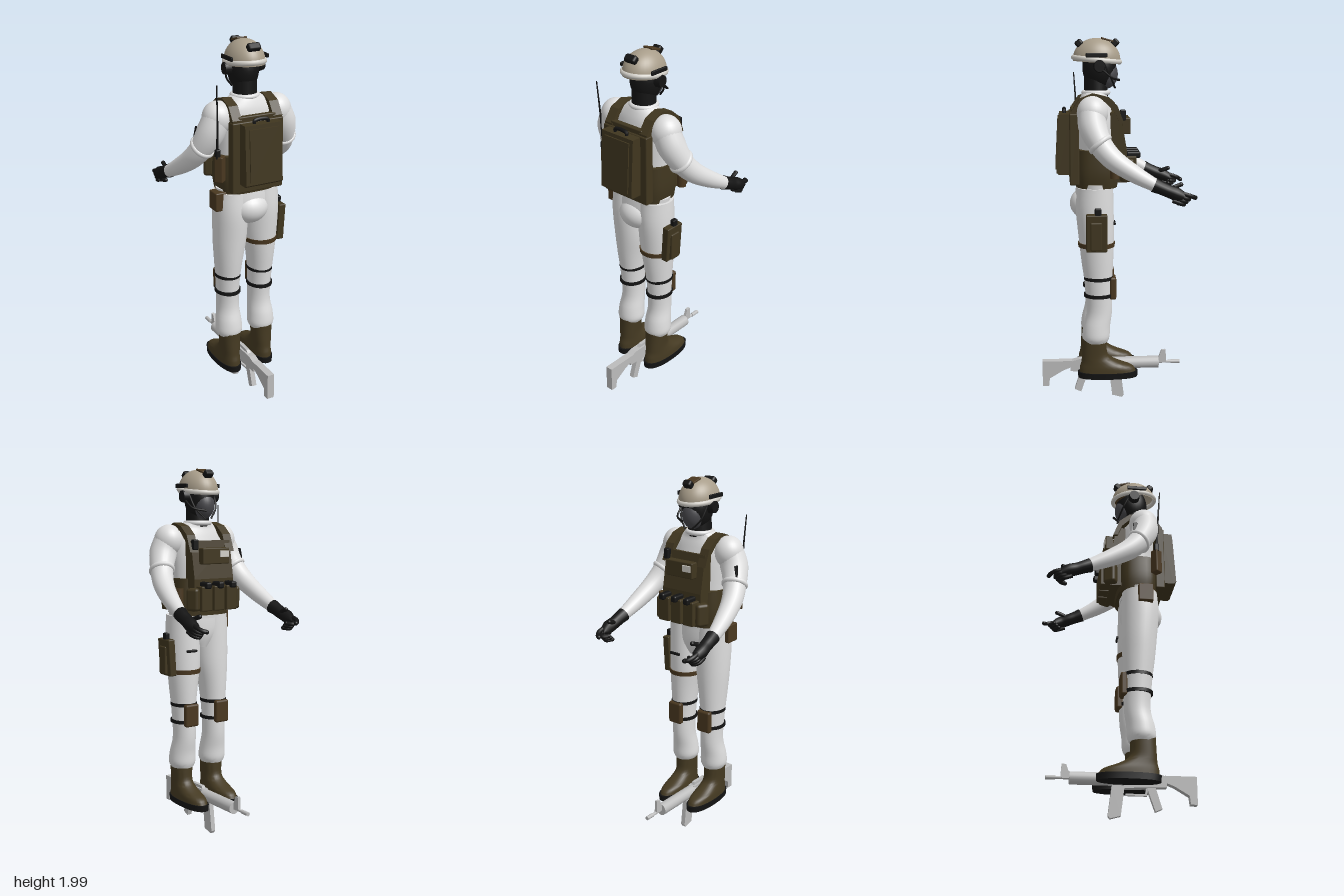
import * as THREE from 'three';
import { toCreasedNormals } from 'three/addons/utils/BufferGeometryUtils.js';
import { RoundedBoxGeometry } from 'three/addons/geometries/RoundedBoxGeometry.js';

const mat = (name, color) => {
  const m = new THREE.MeshStandardMaterial({ color, side: THREE.DoubleSide });
  m.name = name;
  return m;
};
const cloth = mat('white cloth', 0xdedede), olive = mat('olive gear', 0x40361f), dark = mat('black gear', 0x141414);
const tan = mat('tan helmet', 0xa89d8a), rim = mat('pale trim', 0xd2cfc8), steel = mat('grey metal', 0xbcbcbc);
const skin = mat('grey face', 0x48484c), boot = mat('boot leather', 0x453a22), brown = mat('brown pouch', 0x4a3820);

export function createModel() {
  const root = new THREE.Group();
  const add = (name, geo, m, x = 0, y = 0, z = 0, parent = root) => {
    const mesh = new THREE.Mesh(geo, m);
    mesh.name = name;
    mesh.position.set(x, y, z);
    parent.add(mesh);
    return mesh;
  };
  const group = (name) => {
    const g = new THREE.Group();
    g.name = name;
    root.add(g);
    return g;
  };
  const box = (name, m, w, h, d, x, y, z, parent, r = 0.006) =>
    add(name, new RoundedBoxGeometry(w, h, d, 2, Math.min(r, w / 3, h / 3, d / 3)), m, x, y, z, parent);
  const ball = (name, m, rx, ry, rz, x, y, z, parent) =>
    add(name, new THREE.SphereGeometry(1, 28, 18).scale(rx, ry, rz), m, x, y, z, parent);

  // Capped skin over horizontal rings [y, cx, cz, rx, rz], bottom to top; n squares the corners
  const loft = (rings, n = 2, steps = 4, seg = 32) => {
    const pos = [], idx = [], rows = [];
    const at = (k, t) => {
      const p = [-1, 0, 1, 2].map(o => rings[Math.min(rings.length - 1, Math.max(0, Math.floor(t) + o))][k]), f = t % 1;
      return p[1] + 0.5 * f * (p[2] - p[0] + f * (2 * p[0] - 5 * p[1] + 4 * p[2] - p[3] + f * (3 * (p[1] - p[2]) + p[3] - p[0])));
    };
    const total = (rings.length - 1) * steps;
    for (let i = 0; i <= total; i++) rows.push([0, 1, 2, 3, 4].map(k => at(k, i / steps)));
    const cap = r => [r[0], r[1], r[2], 0.0001, 0.0001];
    rows.unshift(cap(rows[0]));
    rows.push(cap(rows[rows.length - 1]));
    const pw = v => Math.sign(v) * Math.abs(v) ** (2 / n);
    rows.forEach(([y, cx, cz, rx, rz], j) => {
      for (let i = 0; i < seg; i++) {
        const a = i / seg * Math.PI * 2;
        pos.push(cx + rx * pw(Math.cos(a)), y, cz + rz * pw(Math.sin(a)));
        if (j === rows.length - 1) continue;
        const A = j * seg + i, B = j * seg + (i + 1) % seg;
        idx.push(A, A + seg, B, B, A + seg, B + seg);
      }
    });
    const g = new THREE.BufferGeometry();
    g.setAttribute('position', new THREE.Float32BufferAttribute(pos, 3));
    g.setIndex(idx);
    return toCreasedNormals(g, 0.9);
  };

  // Tube through points [x, y, z, radius]
  const limb = (pts, seg = 14) => {
    const curve = new THREE.CatmullRomCurve3(pts.map(p => new THREE.Vector3(p[0], p[1], p[2])));
    const n = pts.length * 6, g = new THREE.TubeGeometry(curve, n, 1, seg), p = g.attributes.position;
    const v = new THREE.Vector3();
    for (let i = 0; i < p.count; i++) {
      const t = curve.getUtoTmapping(Math.floor(i / (seg + 1)) / n) * (pts.length - 1);
      const k = Math.min(pts.length - 2, Math.floor(t)), r = THREE.MathUtils.lerp(pts[k][3], pts[k + 1][3], t - k);
      const c = curve.getPoint(t / (pts.length - 1));
      v.fromBufferAttribute(p, i).sub(c).multiplyScalar(r).add(c);
      p.setXYZ(i, v.x, v.y, v.z);
    }
    return g;
  };

  // Side outline of [z, y] points, given a width along x
  const side = (pts, w) => {
    const s = new THREE.Shape(pts.map(p => new THREE.Vector2(p[0], p[1])));
    return new THREE.ExtrudeGeometry(s, { depth: w, bevelEnabled: false }).translate(0, 0, -w / 2).rotateY(-Math.PI / 2);
  };

  // Torso and hips
  add('shirt', loft([[1.2, 0, 0.1, 0.15, 0.09], [1.4, 0, 0.1, 0.15, 0.1], [1.55, 0, 0.105, 0.16, 0.1],
    [1.64, 0, 0.11, 0.16, 0.085], [1.69, 0, 0.11, 0.11, 0.07], [1.72, 0, 0.1, 0.065, 0.065]]), cloth);
  add('hips', loft([[1.04, 0, 0.11, 0.06, 0.07], [1.12, 0, 0.115, 0.15, 0.1], [1.24, 0, 0.11, 0.17, 0.095]]), cloth);
  ball('seatOfTrousers', cloth, 0.11, 0.09, 0.105, 0, 1.12, 0.138);

  for (const s of [-1, 1]) {
    // Legs
    const leg = group(s > 0 ? 'leftLeg' : 'rightLeg');
    add('trouserLeg', loft([[0.37, s * 0.1, 0.11, 0.06, 0.065], [0.4, s * 0.1, 0.11, 0.074, 0.075], [0.46, s * 0.1, 0.105, 0.07, 0.073],
      [0.55, s * 0.098, 0.09, 0.061, 0.069], [0.7, s * 0.099, 0.095, 0.065, 0.074], [0.82, s * 0.097, 0.1, 0.076, 0.085],
      [0.95, s * 0.092, 0.105, 0.09, 0.094], [1.1, s * 0.092, 0.112, 0.092, 0.1], [1.22, s * 0.09, 0.11, 0.09, 0.095]]), cloth, 0, 0, 0, leg);
    for (const y of [0.635, 0.73])
      add('kneeStrap', loft([[y - 0.009, s * 0.099, 0.094, 0.069, 0.079], [y + 0.009, s * 0.099, 0.094, 0.069, 0.079]], 2, 1), dark, 0, 0, 0, leg);
    box('kneePad', brown, 0.085, 0.125, 0.035, s * 0.1, 0.675, 0.018, leg, 0.012);
    add('bootUpper', loft([[0.195, s * 0.1, 0.045, 0.058, 0.155], [0.225, s * 0.1, 0.055, 0.057, 0.143], [0.255, s * 0.1, 0.09, 0.053, 0.1],
      [0.29, s * 0.1, 0.115, 0.051, 0.072], [0.35, s * 0.1, 0.118, 0.054, 0.066], [0.39, s * 0.1, 0.118, 0.056, 0.066]], 2.3), boot, 0, 0, 0, leg);
    add('bootSole', loft([[0.165, s * 0.1, 0.045, 0.06, 0.163], [0.198, s * 0.1, 0.045, 0.062, 0.165]], 2.3, 1), dark, 0, 0, 0, leg);

    // Arms reaching forward
    const arm = group(s > 0 ? 'leftArm' : 'rightArm');
    ball('shoulder', cloth, 0.08, 0.085, 0.08, s * 0.168, 1.618, 0.125, arm);
    add('sleeve', limb([[s * 0.165, 1.64, 0.13, 0.07], [s * 0.205, 1.55, 0.125, 0.074], [s * 0.238, 1.46, 0.085, 0.06],
      [s * 0.262, 1.395, 0.03, 0.055], [s * 0.285, 1.32, -0.08, 0.045], [s * 0.3, 1.26, -0.19, 0.033]], 24), cloth, 0, 0, 0, arm);
    const cuff = add('sleeveRoll', new THREE.TorusGeometry(0.056, 0.014, 10, 28), cloth, s * 0.236, 1.465, 0.088, arm);
    cuff.lookAt(s * 0.262, 1.395, 0.03);

    // Gloved hands with curled fingers
    add('glove', limb([[s * 0.297, 1.265, -0.18, 0.038], [s * 0.301, 1.25, -0.215, 0.034], [s * 0.303, 1.235, -0.25, 0.033],
      [s * 0.308, 1.22, -0.29, 0.035], [s * 0.304, 1.205, -0.325, 0.026], [s * 0.302, 1.2, -0.335, 0.001]]), dark, 0, 0, 0, arm);
    const tip = (name, pts) => {
      const e = pts[pts.length - 1];
      add(name, limb(pts.map(p => [s * p[0], p[1], p[2], 0.0115]), 8), dark, 0, 0, 0, arm);
      ball(name + 'Tip', dark, 0.0115, 0.0115, 0.0115, s * e[0], e[1], e[2], arm);
    };
    tip('indexFinger', [[0.312, 1.225, -0.31], [0.312, 1.21, -0.36], [0.3, 1.2, -0.383], [0.284, 1.195, -0.393]]);
    for (let i = 0; i < 3; i++) {
      const d = i * 0.013;
      tip('curledFinger', [[0.315, 1.212 - d, -0.3 + d], [0.312, 1.195 - d, -0.345 + d], [0.29, 1.188 - d, -0.36 + d], [0.268, 1.19 - d, -0.335 + d]]);
    }
    tip('thumb', [[0.295, 1.24, -0.26], [0.28, 1.25, -0.285], [0.275, 1.262, -0.32]]);

    // Vest shoulder strap
    add('shoulderStrap', side([[0.235, 1.56], [0.235, 1.62], [0.19, 1.685], [0.12, 1.712], [0.05, 1.695], [-0.005, 1.65], [-0.04, 1.56],
      [-0.015, 1.56], [0.01, 1.62], [0.06, 1.67], [0.12, 1.685], [0.18, 1.66], [0.21, 1.6], [0.21, 1.56]], 0.052), olive, s * 0.115);
    // Outer front pouches and ear cups
    box('sidePouch', olive, 0.055, 0.12, 0.07, s * 0.13, 1.315, -0.055, root, 0.016).rotation.y = s * 0.5;
    const cup = add('earCup', new THREE.CylinderGeometry(0.03, 0.036, 0.032, 20).rotateZ(-s * Math.PI / 2), dark, s * 0.096, 1.85, 0.085);
    cup.scale.z = 0.9;
    box('helmetRail', dark, 0.012, 0.022, 0.11, s * 0.101, 1.905, 0.1);
    add('chinStrap', limb([[s * 0.08, 1.86, 0.06, 0.005], [s * 0.066, 1.79, 0.025, 0.005], [s * 0.02, 1.735, 0.0, 0.005]], 6), dark);
  }

  // Plate vest
  add('cummerbund', loft([[1.22, 0, 0.1, 0.155, 0.11], [1.3, 0, 0.1, 0.165, 0.115], [1.42, 0, 0.1, 0.16, 0.112]], 3.2), olive);
  add('frontPlate', side([[0.02, 1.25], [0.03, 1.61], [-0.02, 1.62], [-0.055, 1.42], [-0.055, 1.25]], 0.25), olive);
  box('backPlate', olive, 0.29, 0.37, 0.05, 0, 1.425, 0.218);
  box('upperBackPlate', olive, 0.21, 0.05, 0.03, 0, 1.61, 0.218);
  add('backpack', side([[0.235, 1.29], [0.235, 1.605], [0.295, 1.605], [0.312, 1.3], [0.3, 1.29]], 0.21), olive);
  add('packPanel', side([[0.29, 1.315], [0.29, 1.585], [0.303, 1.585], [0.318, 1.315]], 0.165), olive);
  add('packHandle', limb([[-0.04, 1.605, 0.268, 0.009], [-0.036, 1.62, 0.268, 0.01], [0.036, 1.62, 0.268, 0.01], [0.04, 1.605, 0.268, 0.009]], 8), dark);
  box('chestPouch', olive, 0.17, 0.085, 0.045, 0, 1.54, -0.055);
  box('chestPatch', rim, 0.055, 0.035, 0.008, -0.05, 1.55, -0.079);
  box('talkButton', dark, 0.03, 0.055, 0.03, 0.11, 1.6, -0.035);
  for (const x of [-0.08, 0, 0.08]) {
    box('magazinePouch', olive, 0.068, 0.13, 0.06, x, 1.32, -0.078);
    box('pouchFlap', dark, 0.034, 0.035, 0.075, x, 1.39, -0.092, root, 0.01);
  }

  // Gear on the belt and sides
  box('radioPouch', brown, 0.045, 0.135, 0.045, -0.19, 1.37, 0.19).rotation.y = 0.7;
  box('radio', dark, 0.025, 0.05, 0.025, -0.203, 1.45, 0.19);
  add('antenna', limb([[-0.205, 1.45, 0.19, 0.007], [-0.208, 1.62, 0.2, 0.005], [-0.216, 1.805, 0.212, 0.003]], 8), dark);
  box('hipPouch', brown, 0.07, 0.1, 0.08, -0.168, 1.18, 0.13);
  add('canister', new THREE.CylinderGeometry(0.024, 0.024, 0.09, 16), brown, 0.178, 1.325, 0.012);
  box('sleevePatch', dark, 0.008, 0.06, 0.07, -0.262, 1.54, 0.09).rotation.z = -0.2;

  // Thigh holster with pistol
  box('holster', olive, 0.04, 0.2, 0.11, 0.195, 0.995, 0.107).rotation.z = -0.06;
  box('holsterPocket', olive, 0.025, 0.15, 0.06, 0.214, 0.98, 0.11);
  box('pistolGrip', dark, 0.026, 0.065, 0.034, 0.205, 1.095, 0.1);
  add('thighStrap', loft([[0.902, 0.093, 0.104, 0.09, 0.097], [0.926, 0.093, 0.104, 0.092, 0.099]], 2, 1), brown);
  box('thighBuckle', dark, 0.065, 0.015, 0.012, 0.1, 1.03, 0.009);

  // Head, mask and microphone
  add('collar', new THREE.TorusGeometry(0.064, 0.013, 10, 32).rotateX(Math.PI / 2), cloth, 0, 1.71, 0.1);
  add('neck', new THREE.CylinderGeometry(0.06, 0.063, 0.13, 28), dark, 0, 1.755, 0.1);
  ball('hood', dark, 0.078, 0.115, 0.088, 0, 1.84, 0.082);
  ball('face', skin, 0.058, 0.075, 0.06, 0, 1.805, 0.044);
  ball('brow', brown, 0.065, 0.028, 0.05, 0, 1.872, 0.035);
  add('microphoneArm', limb([[0.1, 1.83, 0.07, 0.005], [0.085, 1.79, 0.02, 0.005], [0.025, 1.775, -0.02, 0.007]], 8), dark);

  // Helmet
  add('helmetShell', new THREE.SphereGeometry(1, 36, 18, 0, Math.PI * 2, 0, Math.PI * 0.54).scale(0.098, 0.11, 0.124), tan, 0, 1.88, 0.095).rotation.x = -0.06;
  const edge = add('helmetRim', new THREE.TorusGeometry(1, 0.1, 10, 40).rotateX(Math.PI / 2).scale(0.096, 0.13, 0.122), rim, 0, 1.88, 0.095);
  edge.rotation.x = -0.1;
  box('lampMount', dark, 0.05, 0.04, 0.035, 0, 1.965, 0.0, root, 0.01).rotation.x = -0.8;
  box('topPanel', brown, 0.06, 0.01, 0.065, 0, 1.981, 0.04).rotation.x = -0.27;
  box('rearPack', dark, 0.07, 0.035, 0.04, 0, 1.963, 0.187, root, 0.012).rotation.x = 0.75;

  // Rifle lying between the boots, muzzle toward -z
  const rifle = group('rifle');
  const part = (name, pts, w) => add(name, side(pts, w), steel, 0, 0, 0, rifle);
  part('stock', [[0.405, 0.08], [0.405, 0.225], [0.24, 0.225], [0.24, 0.19], [0.29, 0.17], [0.365, 0.125], [0.37, 0.08]], 0.04);
  part('receiver', [[0.25, 0.165], [0.25, 0.22], [0.2, 0.235], [0.03, 0.235], [0.03, 0.155]], 0.04);
  part('pistolGrip', [[0.19, 0.17], [0.225, 0.055], [0.19, 0.04], [0.145, 0.17]], 0.028);
  part('magazine', [[0.035, 0.17], [0.015, 0.015], [-0.04, 0.0], [-0.05, 0.015], [-0.03, 0.17]], 0.026);
  part('triggerGuard', [[0.155, 0.165], [0.15, 0.12], [0.04, 0.12], [0.04, 0.13], [0.14, 0.13], [0.145, 0.165]], 0.014);
  part('carryHandle', [[0.17, 0.23], [0.15, 0.25], [0.05, 0.25], [0.04, 0.23]], 0.02);
  part('frontSight', [[-0.235, 0.2], [-0.262, 0.272], [-0.285, 0.275], [-0.29, 0.2]], 0.016);
  const rod = (name, r, z0, z1) =>
    add(name, new THREE.CylinderGeometry(r, r, z0 - z1, 18).rotateX(Math.PI / 2), steel, 0, 0.203, (z0 + z1) / 2, rifle);
  rod('handguard', 0.033, 0.04, -0.245);
  rod('barrel', 0.008, -0.24, -0.36);
  rod('muzzle', 0.011, -0.315, -0.365);
  return root;
}
